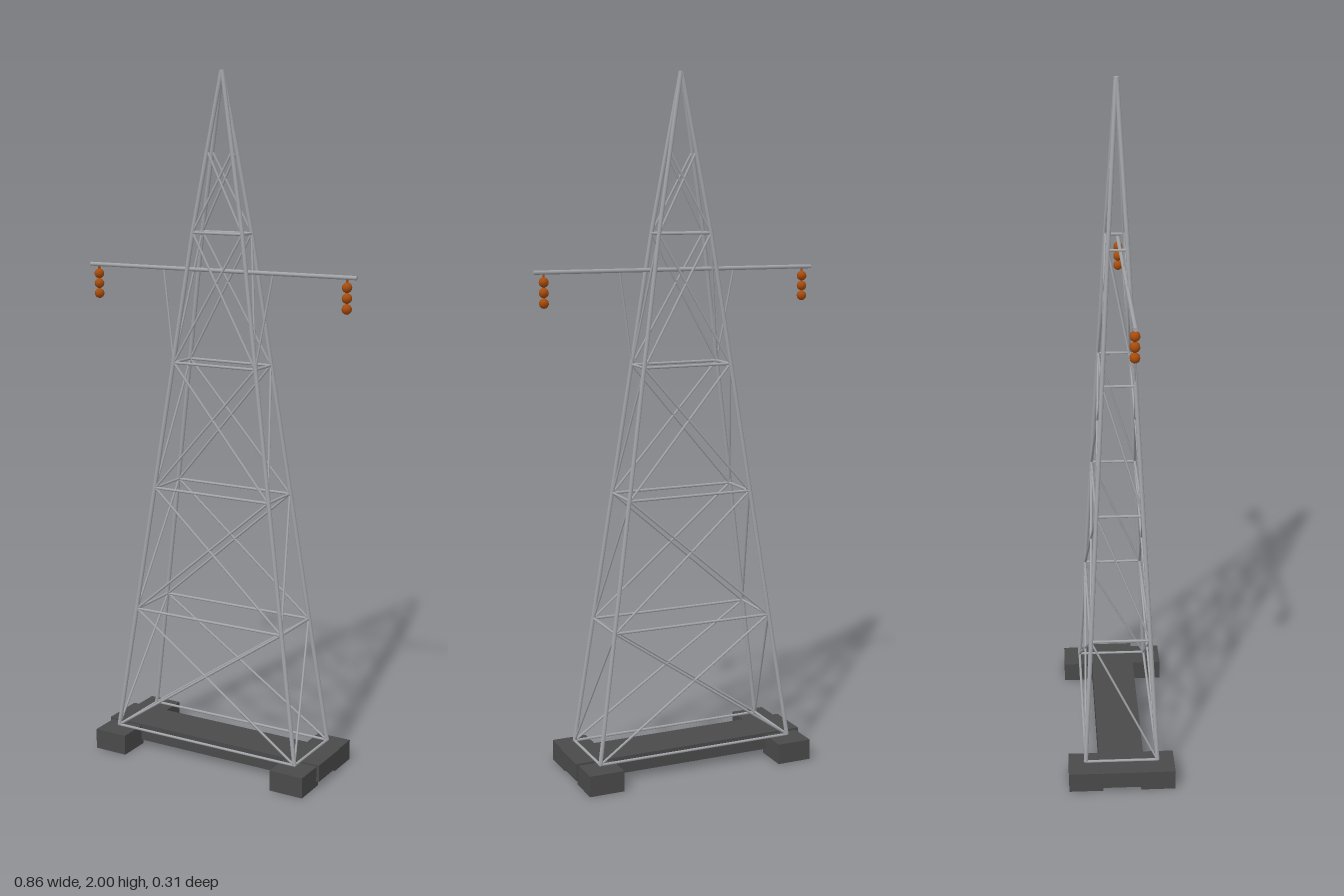
import * as THREE from 'three';

export function createModel() {
  const group = new THREE.Group();
  const steel = new THREE.MeshStandardMaterial({ color: 0xa2a4a8 });
  steel.name = 'galvanised steel';
  const concrete = new THREE.MeshStandardMaterial({ color: 0x4a4a4a });
  concrete.name = 'dark concrete';
  const ceramic = new THREE.MeshStandardMaterial({ color: 0xa84c0c });
  ceramic.name = 'orange brown ceramic';

  const add = (name, geometry, material, x = 0, y = 0, z = 0) => {
    const mesh = new THREE.Mesh(geometry, material);
    mesh.name = name;
    mesh.position.set(x, y, z);
    group.add(mesh);
    return mesh;
  };

  // Round bar between two points
  const up = new THREE.Vector3(0, 1, 0);
  const bar = (name, a, b, radius) => {
    const dir = b.clone().sub(a);
    const mid = a.clone().add(b).multiplyScalar(0.5);
    const mesh = add(name, new THREE.CylinderGeometry(radius, radius, dir.length(), 8), steel, mid.x, mid.y, mid.z);
    mesh.quaternion.setFromUnitVectors(up, dir.normalize());
  };

  // Tower outline: height, half width, half depth
  const levels = [
    [0.068, 0.298, 0.105],
    [0.439, 0.242, 0.086],
    [0.811, 0.187, 0.066],
    [1.182, 0.133, 0.046],
    [1.553, 0.08, 0.027],
    [1.778, 0.0395, 0.0135],
    [1.997, 0.001, 0.001],
  ];
  const corner = (i, sx, sz) => new THREE.Vector3(sx * levels[i][1], levels[i][0], sz * levels[i][2]);
  const signs = [-1, 1];

  // Four legs, bending slightly inward above the upper frame
  for (const sx of signs) for (const sz of signs) {
    bar('lowerLeg', corner(0, sx, sz), corner(4, sx, sz), 0.0063);
    bar('upperLeg', corner(4, sx, sz), corner(6, sx, sz), 0.0063);
  }

  // Horizontal frames
  for (let i = 0; i < 5; i++) for (const s of signs) {
    bar('crossRail', corner(i, -1, s), corner(i, 1, s), 0.004);
    bar('sideRail', corner(i, s, -1), corner(i, s, 1), 0.004);
  }

  // Crossed braces on front and back, single diagonals on the sides
  for (let i = 0; i < 5; i++) for (const s of signs) {
    for (const d of signs) bar('crossBrace', corner(i, d, s), corner(i + 1, -d, s), 0.0036);
    if (i < 4) bar('sideBrace', corner(i, s, 1), corner(i + 1, s, -1), 0.0033);
  }

  // Cross arm with its two struts
  const armY = 1.45, armZ = 0.026;
  bar('crossArm', new THREE.Vector3(-0.43, armY, armZ), new THREE.Vector3(0.43, armY, armZ), 0.0058);
  for (const s of signs) {
    bar('armStrut', corner(3, s, 1), new THREE.Vector3(s * 0.177, armY, armZ), 0.003);
  }

  // Insulator strings
  for (const s of signs) {
    add('insulatorRod', new THREE.CylinderGeometry(0.003, 0.003, 0.096, 6), ceramic, s * 0.401, 1.399, armZ);
    for (let k = 0; k < 3; k++) {
      add('insulatorBead', new THREE.SphereGeometry(0.0142, 10, 8), ceramic, s * 0.401, 1.423 - k * 0.029, armZ);
    }
  }

  // Foundation beam and footing blocks
  add('foundationBeam', new THREE.BoxGeometry(0.714, 0.05, 0.132), concrete, 0, 0.041, 0);
  for (const sx of signs) for (const sz of signs) {
    add('footing', new THREE.BoxGeometry(0.103, 0.06, 0.1), concrete, sx * 0.297, 0.03, sz * 0.105);
  }

  return group;
}
